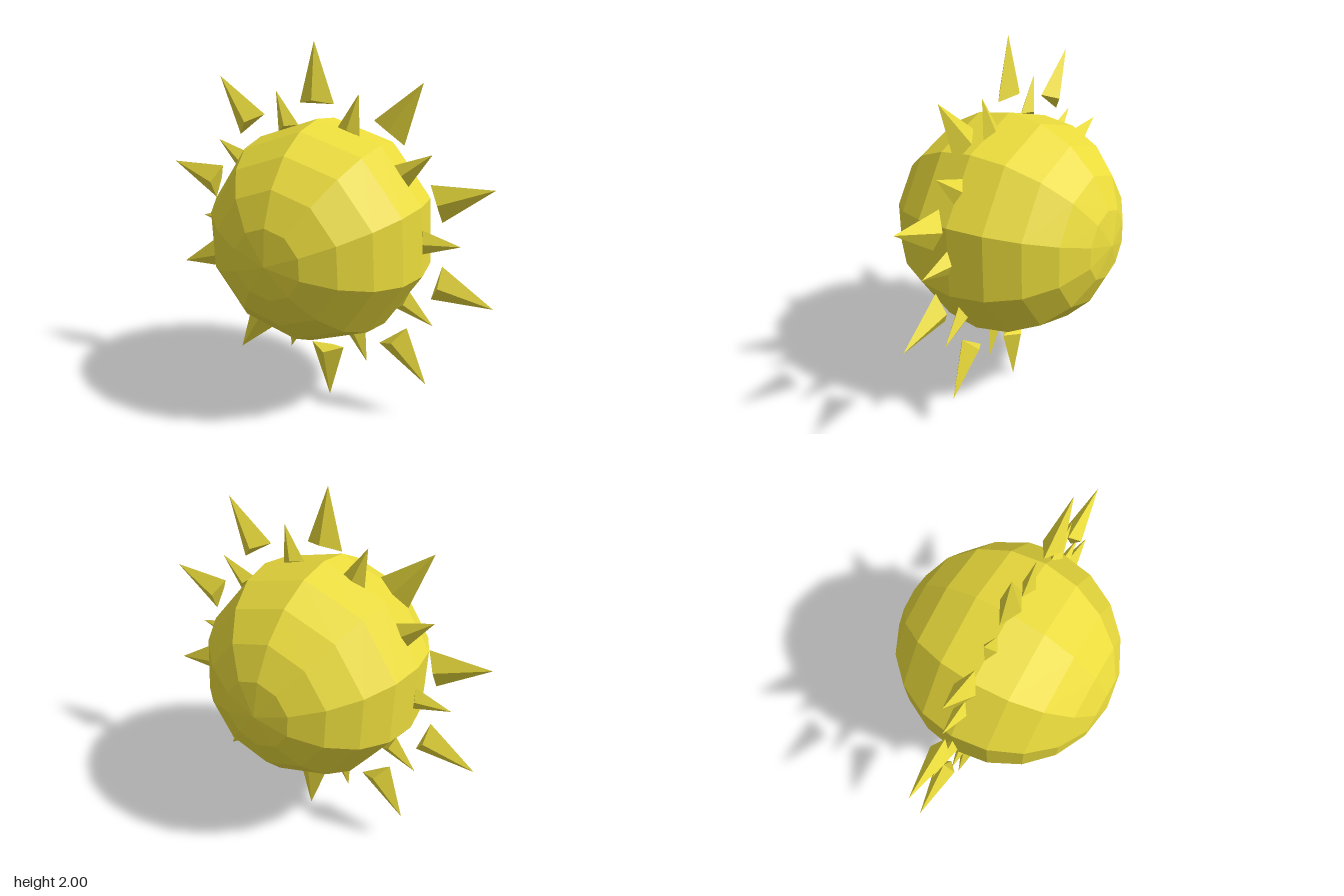
import * as THREE from 'three';

const COUNT = 10;
const STEP = (Math.PI * 2) / COUNT;

// Four-sided spike pointing along +x; its base is folded along the wide diagonal
function spikeGeometry(tip, base, fold, halfWidth, halfDepth) {
  const T = [tip, 0, 0];
  const L = [base, halfWidth, 0], R = [base, -halfWidth, 0];
  const F = [fold, 0, halfDepth], B = [fold, 0, -halfDepth];
  const faces = [T, L, F, T, F, R, T, R, B, T, B, L, F, L, R, B, R, L];
  const geo = new THREE.BufferGeometry();
  geo.setAttribute('position', new THREE.Float32BufferAttribute(faces.flat(), 3));
  geo.computeVertexNormals();
  return geo;
}

export function createModel() {
  const material = new THREE.MeshStandardMaterial({ color: 0xeadb3c, flatShading: true });
  const model = new THREE.Group();
  model.name = 'spikedSun';

  // Everything shares one slightly tilted axis
  const sun = new THREE.Group();
  sun.name = 'sun';
  sun.position.y = 1;
  sun.quaternion
    .setFromUnitVectors(new THREE.Vector3(0, 0, 1), new THREE.Vector3(0.035, -0.035, 1).normalize())
    .multiply(new THREE.Quaternion().setFromAxisAngle(new THREE.Vector3(0, 0, 1), 0.03));
  model.add(sun);

  // Faceted ball with its poles at front and back
  const ballGeo = new THREE.SphereGeometry(0.605, COUNT, 10);
  ballGeo.rotateX(Math.PI / 2).rotateZ(Math.PI / 2);
  const ball = new THREE.Mesh(ballGeo, material);
  ball.name = 'ball';
  sun.add(ball);

  // Large floating rays, with small rays between them touching the ball
  const largeRay = spikeGeometry(1.0, 0.685, 0.71, 0.1, 0.057);
  const smallRay = spikeGeometry(0.78, 0.575, 0.592, 0.065, 0.037);
  for (let i = 0; i < COUNT; i++) {
    const large = new THREE.Mesh(largeRay, material);
    large.name = 'largeRay';
    large.rotation.z = Math.PI / 2 + i * STEP;
    const small = new THREE.Mesh(smallRay, material);
    small.name = 'smallRay';
    small.rotation.z = Math.PI / 2 + (i + 0.5) * STEP;
    sun.add(large, small);
  }
  return model;
}
